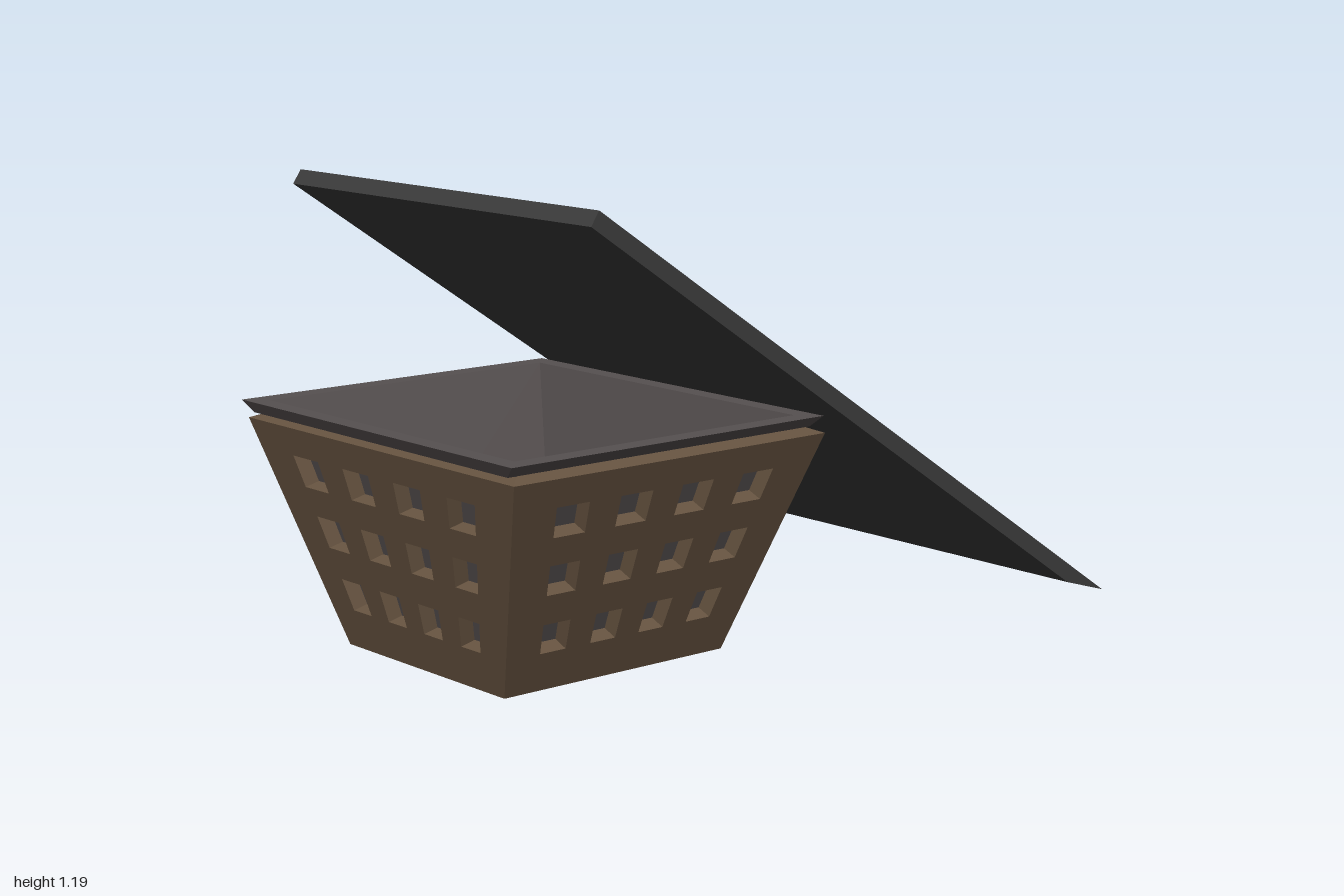
import * as THREE from 'three';

const mat = (color) => new THREE.MeshStandardMaterial({ color, flatShading: true, side: THREE.DoubleSide });

function add(parent, name, geometry, material) {
  const mesh = new THREE.Mesh(geometry, material);
  mesh.name = name;
  parent.add(mesh);
  return mesh;
}

function rect(x0, x1, y0, y1, Type = THREE.Shape) {
  return new Type([[x0, y0], [x1, y0], [x1, y1], [x0, y1]].map((p) => new THREE.Vector2(...p)));
}

// Apply a rule to every vertex
function deform(geometry, rule) {
  const p = geometry.attributes.position;
  for (let i = 0; i < p.count; i++) p.setXYZ(i, ...rule(p.getX(i), p.getY(i), p.getZ(i)));
  geometry.computeVertexNormals();
  return geometry;
}

// Rectangular rings [y, half width, half depth] joined in order
function rectLoft(profile) {
  const corners = [[1, 1], [1, -1], [-1, -1], [-1, 1]];
  const pts = [];
  for (let j = 0; j < profile.length - 1; j++) {
    for (let k = 0; k < 4; k++) {
      const at = (ring, c) => [c[0] * ring[1], ring[0], c[1] * ring[2]];
      const c0 = corners[k], c1 = corners[(k + 1) % 4];
      const a = at(profile[j], c0), b = at(profile[j], c1);
      const c = at(profile[j + 1], c1), d = at(profile[j + 1], c0);
      pts.push(...a, ...b, ...c, ...a, ...c, ...d);
    }
  }
  const g = new THREE.BufferGeometry();
  g.setAttribute('position', new THREE.Float32BufferAttribute(pts, 3));
  g.computeVertexNormals();
  return g;
}

const HEIGHT = 0.575, WALL = 0.04;
const X = [0.325, 0.555], Z = [0.345, 0.485]; // half sizes at bottom and top

// Sloping wall pierced by a 4 x 3 grid of openings that taper with it
function wallGeometry(width, reach) {
  const shape = rect(-1, 1, 0, 1);
  for (const y of [0.105, 0.265, 0.42]) {
    for (const u of [-0.62, -0.205, 0.205, 0.62]) {
      shape.holes.push(rect(u - 0.105, u + 0.105, y / HEIGHT, (y + 0.08) / HEIGHT, THREE.Path));
    }
  }
  const slope = (reach[1] - reach[0]) / HEIGHT;
  const g = new THREE.ExtrudeGeometry(shape, { depth: 1, bevelEnabled: false });
  return deform(g, (u, v, z) => {
    const inset = WALL * (1 - z);
    const mitre = Math.abs(u) > 0.99 ? u * inset : 0;
    return [
      u * THREE.MathUtils.lerp(...width, v) - mitre,
      v * HEIGHT + slope * inset,
      THREE.MathUtils.lerp(...reach, v) - inset,
    ];
  });
}

function createBasket() {
  const basket = new THREE.Group();
  basket.name = 'basket';
  basket.position.set(0.015, 0, 0.505);
  const brown = mat(0x665340);

  ['frontWall', 'leftWall', 'backWall', 'rightWall'].forEach((name, k) => {
    const g = k % 2 ? wallGeometry(Z, X) : wallGeometry(X, Z);
    add(basket, name, g, brown).rotation.y = k * Math.PI / 2;
  });
  add(basket, 'basketFloor', new THREE.BoxGeometry(2 * X[0], 0.02, 2 * Z[0]), brown).position.y = 0.01;

  // Liner: outer shell, flared rim, inner shell and floor
  const liner = rectLoft([
    [0.03, 0, 0], [0.03, 0.285, 0.295], [0.59, 0.505, 0.43], [0.59, 0.53, 0.47],
    [0.62, 0.565, 0.485], [0.62, 0.51, 0.435], [0.06, 0.275, 0.285], [0.06, 0, 0],
  ]);
  add(basket, 'liner', liner, mat(0x565050)).position.set(-0.005, 0, 0.01);
  return basket;
}

function createPanel() {
  const panel = new THREE.Group();
  panel.name = 'leaningPanel';
  panel.position.set(0, 0.015, -0.995);
  panel.rotation.x = -0.587;
  const LENGTH = 2.12, HALF = 0.61, LIP = 0.018, THICK = 0.043;
  const S0 = 0.066, S1 = 2.035, INNER = 0.53;
  const dark = mat(0x3c3c3c);
  // The low end is cut to a wedge along its underside
  const wedge = (x, y, z) => [x, y, z < 0.01 ? -3.33 * y : z];

  // Raised border
  const border = rect(-HALF, HALF, 0, LENGTH);
  border.holes.push(rect(-INNER, INNER, S0, S1, THREE.Path));
  const borderGeo = new THREE.ExtrudeGeometry(border, { depth: LIP, bevelEnabled: false }).rotateX(Math.PI / 2);
  add(panel, 'panelBorder', deform(borderGeo, wedge), dark);

  // Backing slab
  const back = new THREE.BoxGeometry(2 * HALF, THICK - LIP, LENGTH).toNonIndexed();
  back.translate(0, -(THICK + LIP) / 2, LENGTH / 2);
  add(panel, 'panelBacking', deform(back, wedge), dark);

  // Recessed face and its stripes
  const sheet = (name, x0, x1, y, color) => {
    const g = new THREE.PlaneGeometry(x1 - x0, S1 - S0).rotateX(-Math.PI / 2);
    add(panel, name, g, mat(color)).position.set((x0 + x1) / 2, y, (S0 + S1) / 2);
  };
  sheet('panelFace', -INNER, INNER, -LIP + 0.002, 0x5a5352);
  sheet('whiteStripe', -0.383, -0.36, -LIP + 0.004, 0xcfcaca);
  sheet('blueStripe', -0.36, -0.335, -LIP + 0.004, 0x434c98);
  sheet('yellowStripe', -0.335, -0.315, -LIP + 0.004, 0xd2b44c);
  sheet('greenStripe', -0.315, -0.29, -LIP + 0.004, 0x2fa84a);
  return panel;
}

export function createModel() {
  const model = new THREE.Group();
  model.name = 'basketWithPanel';
  model.add(createBasket(), createPanel());
  return model;
}
